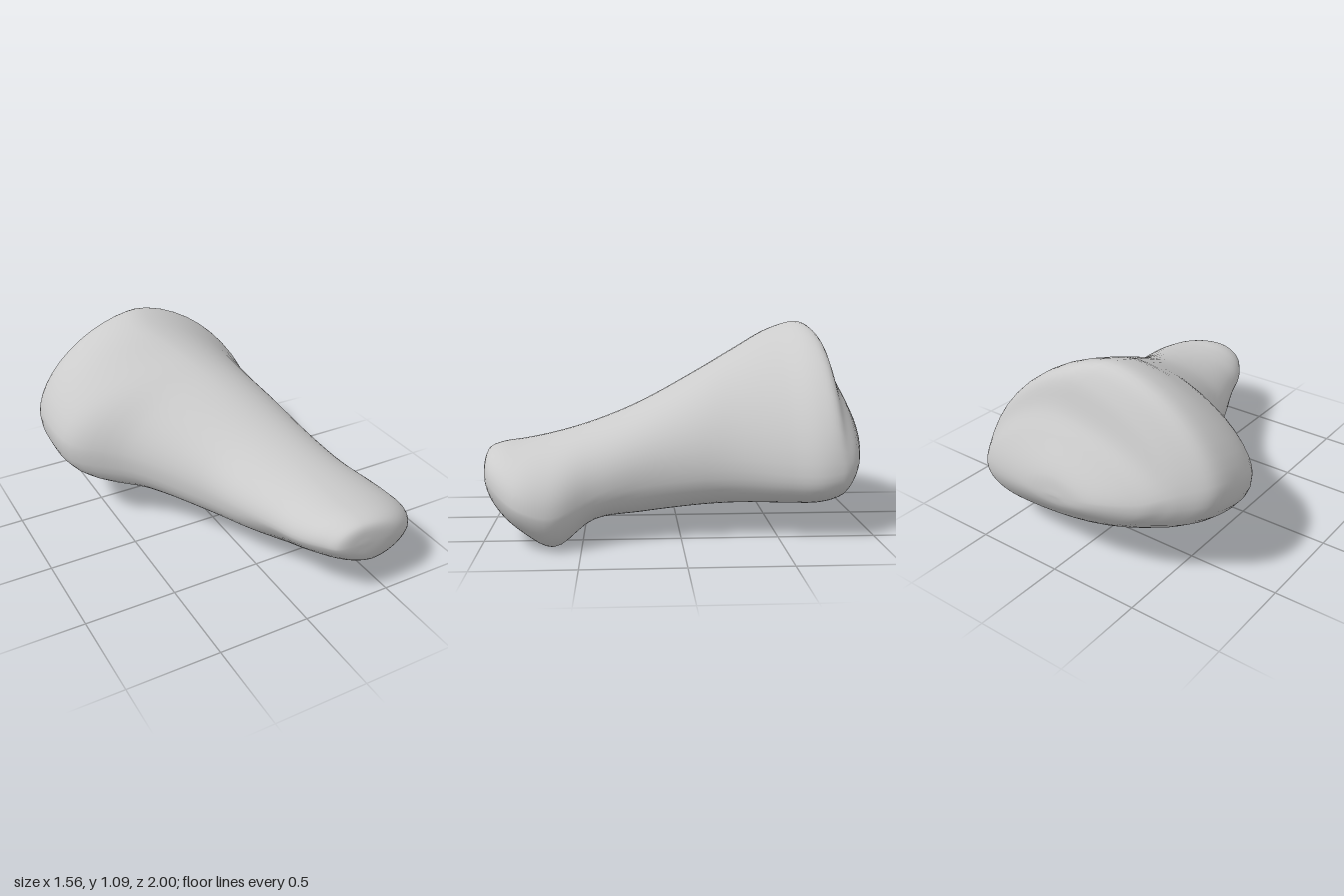
import * as THREE from 'three';
import { mergeVertices } from 'three/addons/utils/BufferGeometryUtils.js';

const { lerp, smoothstep } = THREE.MathUtils;

// Each section: z, left x, right x, bottom y, top y,
// x of the top point, x of the bottom point, y of the left point, y of the right point
const SECTIONS = [
  [-1.00, -0.03, -0.03, 0.46, 0.46, -0.03, -0.03, 0.46, 0.46],
  [-0.985, -0.24, 0.20, 0.39, 0.56, -0.02, 0.04, 0.48, 0.44],
  [-0.90, -0.47, 0.53, 0.27, 0.72, 0.02, 0.24, 0.50, 0.39],
  [-0.84, -0.57, 0.60, 0.205, 0.83, 0.05, 0.33, 0.53, 0.36],
  [-0.79, -0.65, 0.62, 0.18, 1.00, 0.00, 0.33, 0.55, 0.35],
  [-0.70, -0.76, 0.63, 0.16, 1.085, -0.14, 0.32, 0.58, 0.34],
  [-0.55, -0.785, 0.60, 0.155, 1.05, -0.16, 0.30, 0.56, 0.34],
  [-0.32, -0.735, 0.565, 0.15, 0.935, -0.04, 0.26, 0.50, 0.36],
  [-0.12, -0.46, 0.56, 0.135, 0.83, 0.06, 0.22, 0.45, 0.36],
  [0.20, -0.21, 0.59, 0.115, 0.67, 0.18, 0.30, 0.38, 0.33],
  [0.44, -0.10, 0.66, 0.10, 0.58, 0.25, 0.40, 0.36, 0.26],
  [0.64, -0.01, 0.77, 0.00, 0.525, 0.28, 0.61, 0.35, 0.18],
  [0.80, 0.05, 0.765, 0.08, 0.495, 0.30, 0.58, 0.35, 0.22],
  [0.92, 0.12, 0.66, 0.16, 0.48, 0.32, 0.46, 0.36, 0.29],
  [0.985, 0.18, 0.53, 0.25, 0.45, 0.32, 0.37, 0.36, 0.34],
  [1.00, 0.32, 0.32, 0.36, 0.36, 0.32, 0.32, 0.36, 0.36],
];
const SIDES = 48;
const STEPS = 75;

// Roundness of a quarter: the base has a peaked top and a flat underside,
// while the head is close to an ellipse with a bevelled lower corner
function roundness(z, above, right) {
  if (above) return lerp(right ? 1.65 : 1.7, 2, smoothstep(z, -0.5, 0.2));
  const head = smoothstep(z, 0.3, 0.65);
  return right
    ? lerp(2.5, 1.8, head)
    : lerp(lerp(2, 2.4, smoothstep(z, -0.8, -0.45)), 1.5, head);
}

// Point on a section: four quarter superellipses joined at its extreme points
function sectionPoint([z, x0, x1, y0, y1, xTop, xBottom, yLeft, yRight], angle) {
  const c = Math.cos(angle), s = Math.sin(angle);
  const power = 2 / roundness(z, s >= 0, c >= 0);
  const xm = s >= 0 ? xTop : xBottom;
  const ym = c >= 0 ? yRight : yLeft;
  return new THREE.Vector3(
    xm + Math.abs(c) ** power * (c >= 0 ? x1 - xm : x0 - xm),
    ym + Math.abs(s) ** power * (s >= 0 ? y1 - ym : y0 - ym),
    z
  );
}

// Smooth skin lofted lengthwise through all the sections
function loftGeometry() {
  const positions = [], index = [];
  for (let j = 0; j < SIDES; j++) {
    const angle = (j / SIDES) * Math.PI * 2;
    const rail = new THREE.CatmullRomCurve3(
      SECTIONS.map((section) => sectionPoint(section, angle)), false, 'centripetal');
    for (let i = 0; i <= STEPS; i++) positions.push(...rail.getPoint(i / STEPS).toArray());
  }
  for (let j = 0; j < SIDES; j++) {
    const here = j * (STEPS + 1);
    const next = ((j + 1) % SIDES) * (STEPS + 1);
    for (let i = 0; i < STEPS; i++) {
      const a = here + i, b = next + i;
      if (i > 0) index.push(a, b, a + 1);
      if (i < STEPS - 1) index.push(b, b + 1, a + 1);
    }
  }
  const geometry = new THREE.BufferGeometry();
  geometry.setAttribute('position', new THREE.Float32BufferAttribute(positions, 3));
  geometry.setIndex(index);
  const welded = mergeVertices(geometry, 1e-5);
  welded.computeVertexNormals();
  return welded;
}

export function createModel() {
  const group = new THREE.Group();
  group.name = 'toeBone';
  const bone = new THREE.Mesh(loftGeometry(), new THREE.MeshStandardMaterial({ color: 0xcccccc }));
  bone.name = 'boneBody';
  group.add(bone);
  return group;
}
